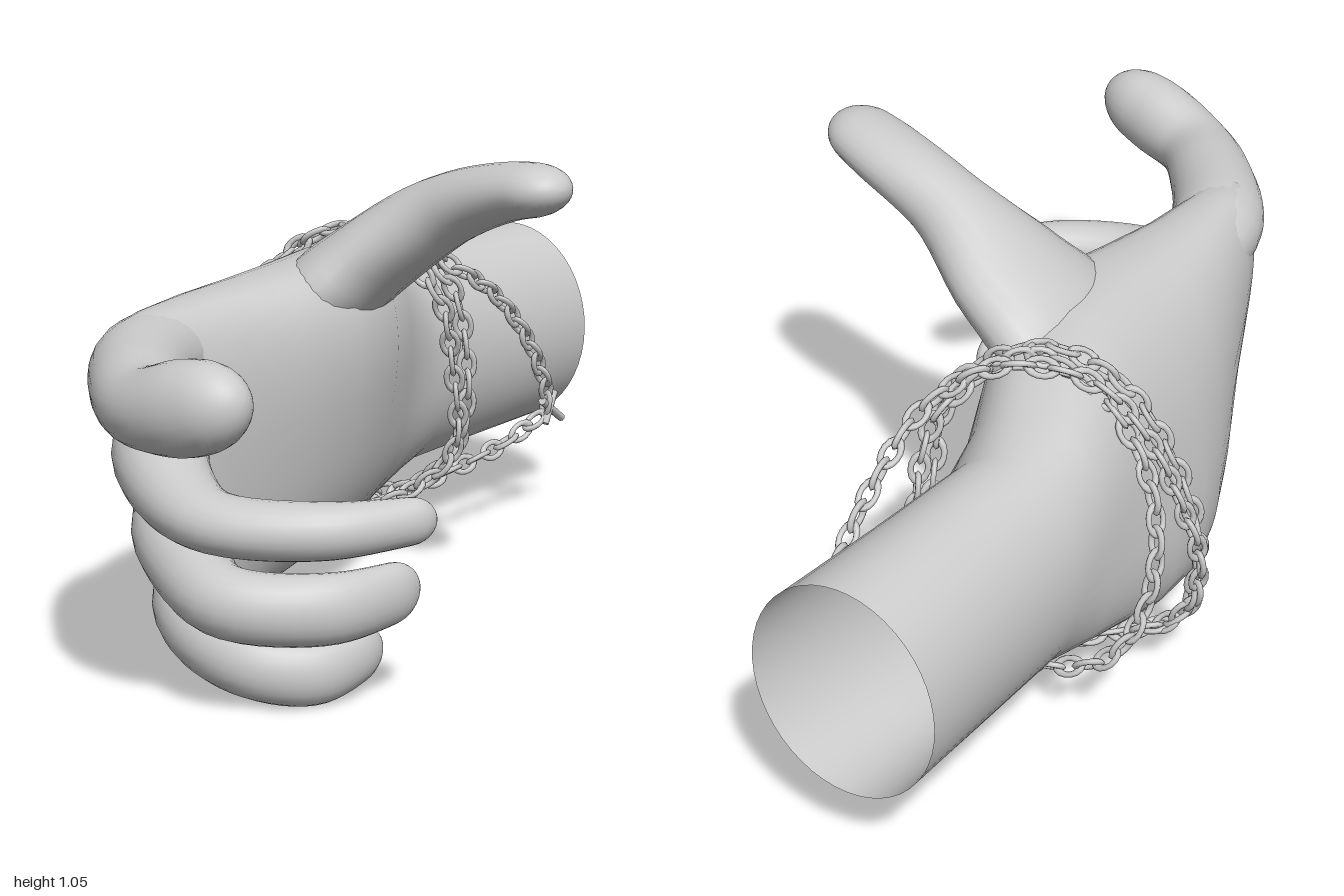
import * as THREE from 'three';
import { mergeGeometries } from 'three/addons/utils/BufferGeometryUtils.js';

const skin = new THREE.MeshStandardMaterial({ color: 0xcccccc, side: THREE.DoubleSide });
const metal = new THREE.MeshStandardMaterial({ color: 0xcccccc });
const V = (p) => new THREE.Vector3(...p);

// Skin closed rings of equal length into one smooth surface.
function loft(rings) {
  const n = rings[0].length, pos = [], idx = [];
  rings.forEach((ring) => ring.forEach((p) => pos.push(p.x, p.y, p.z)));
  for (let i = 0; i < rings.length - 1; i++) {
    for (let j = 0; j < n; j++) {
      const a = i * n + j, b = i * n + (j + 1) % n;
      idx.push(a, b, a + n, b, b + n, a + n);
    }
  }
  const g = new THREE.BufferGeometry();
  g.setAttribute('position', new THREE.Float32BufferAttribute(pos, 3));
  g.setIndex(idx);
  g.computeVertexNormals();
  return g;
}

// A digit: path points [x, y, z, vertical radius, sideways radius], rounded at its end.
function digit(name, pts) {
  const path = new THREE.CatmullRomCurve3(pts.map((p) => V(p.slice(0, 3))));
  const radii = new THREE.CatmullRomCurve3(pts.map((p) => V([p[3], p[4], 0])));
  const end = path.getPoint(1), rings = [], steps = 36, sides = 24;
  for (let i = 0; i <= steps; i++) {
    const t = Math.sin((i / steps) * Math.PI / 2);
    const c = path.getPoint(t), T = path.getTangent(t), r = radii.getPoint(t);
    const U = new THREE.Vector3(0, 1, 0).addScaledVector(T, -T.y).normalize();
    const P = U.clone().cross(T);
    const d = Math.min(1, c.distanceTo(end) / (Math.max(r.x, r.y) * 1.1));
    const k = Math.max(0.002, Math.sqrt(1 - (1 - d) ** 2));
    rings.push(Array.from({ length: sides }, (_, j) => {
      const a = (j / sides) * Math.PI * 2;
      return c.clone().addScaledVector(P, Math.cos(a) * r.y * k).addScaledVector(U, Math.sin(a) * r.x * k);
    }));
  }
  const m = new THREE.Mesh(loft(rings), skin);
  m.name = name;
  return m;
}

// Forearm and palm: sections [z, xMin, xMax, yMin, yMax, lean of x with y, lean of z with y].
function armAndPalm() {
  const sections = [
    [-1, -0.37, 0.04, 0.2, 0.69, 0, 0],
    [-0.75, -0.385, -0.01, 0.195, 0.695, 0, 0],
    [-0.5, -0.4, -0.055, 0.19, 0.7, 0, 0],
    [-0.38, -0.405, -0.055, 0.175, 0.72, 0.04, 0],
    [-0.25, -0.405, -0.025, 0.14, 0.765, 0.12, 0],
    [-0.1, -0.4, 0.015, 0.1, 0.8, 0.2, 0.03],
    [0.05, -0.39, 0.02, 0.08, 0.8, 0.21, 0.08],
    [0.18, -0.37, -0.005, 0.067, 0.79, 0.15, 0.14],
    [0.3, -0.338, -0.03, 0.055, 0.785, 0.08, 0.2],
    [0.43, -0.288, -0.038, 0.045, 0.78, 0, 0.27],
    [0.51, -0.255, -0.03, 0.045, 0.775, -0.03, 0.29],
    [0.57, -0.21, -0.04, 0.075, 0.75, -0.05, 0.29],
    [0.59, -0.14, -0.11, 0.2, 0.65, -0.05, 0.29],
    [0.59, -0.126, -0.124, 0.42, 0.43, -0.05, 0.29],
  ];
  const n = 48;
  const rings = sections.map(([z, x0, x1, y0, y1, kx, kz], i) => Array.from({ length: n }, (_, j) => {
    const a = (j / n) * Math.PI * 2, e = i < 3 ? 1 : 0.8;
    const f = (v) => Math.sign(v) * Math.abs(v) ** e;
    const y = (y0 + y1) / 2 + f(Math.sin(a)) * (y1 - y0) / 2;
    const x = (x0 + x1) / 2 + f(Math.cos(a)) * (x1 - x0) / 2;
    return new THREE.Vector3(x + kx * (y - 0.42), y, z + kz * (y - 0.42));
  }));
  const m = new THREE.Mesh(loft(rings), skin);
  m.name = 'forearmAndPalm';
  return m;
}

// A closed chain of oval links, each turned a quarter from its neighbour.
function chain(name, pts) {
  const curve = new THREE.CatmullRomCurve3(pts.map(V), true);
  const count = 2 * Math.round(curve.getLength() / 0.096);
  const X = new THREE.Vector3(1, 0, 0), links = [];
  for (let i = 0; i < count; i++) {
    const p = curve.getPointAt(i / count), t = curve.getTangentAt(i / count);
    const g = new THREE.TorusGeometry(0.018, 0.0065, 6, 14);
    g.scale(1.6, 1, 1).rotateX((i % 2 ? 1 : -1) * Math.PI / 4);
    g.applyQuaternion(new THREE.Quaternion().setFromUnitVectors(X, t));
    g.translate(p.x, p.y, p.z);
    links.push(g);
  }
  const m = new THREE.Mesh(mergeGeometries(links), metal);
  m.name = name;
  return m;
}

export function createModel() {
  const model = new THREE.Group();
  model.name = 'handWithBracelet';
  model.add(armAndPalm());

  // Fingers curl forward and across; the thumb rises from a broad web on the palm
  model.add(
    digit('indexFinger', [
      [-0.17, 0.67, 0.35, 0.07, 0.07], [-0.155, 0.68, 0.56, 0.098, 0.105], [-0.045, 0.682, 0.75, 0.09, 0.095],
      [0.055, 0.685, 0.86, 0.08, 0.085], [0.17, 0.71, 0.905, 0.092, 0.083], [0.32, 0.75, 0.93, 0.072, 0.063]]),
    digit('middleFinger', [
      [-0.16, 0.52, 0.3, 0.07, 0.07], [-0.145, 0.51, 0.53, 0.098, 0.1], [-0.035, 0.465, 0.66, 0.08, 0.088],
      [0.12, 0.438, 0.74, 0.061, 0.07], [0.32, 0.435, 0.675, 0.057, 0.058], [0.475, 0.44, 0.5, 0.045, 0.03]]),
    digit('ringFinger', [
      [-0.16, 0.34, 0.25, 0.07, 0.07], [-0.145, 0.33, 0.47, 0.095, 0.1], [-0.035, 0.285, 0.6, 0.082, 0.085],
      [0.11, 0.255, 0.68, 0.074, 0.07], [0.28, 0.245, 0.59, 0.073, 0.056], [0.37, 0.25, 0.385, 0.06, 0.03]]),
    digit('littleFinger', [
      [-0.16, 0.17, 0.2, 0.06, 0.06], [-0.14, 0.152, 0.41, 0.095, 0.1], [-0.045, 0.115, 0.52, 0.082, 0.085],
      [0.09, 0.088, 0.567, 0.072, 0.063], [0.2, 0.073, 0.505, 0.07, 0.052], [0.262, 0.1, 0.35, 0.055, 0.03]]),
    digit('thumb', [
      [-0.2, 0.54, -0.04, 0.06, 0.1], [-0.09, 0.71, -0.035, 0.1, 0.21], [0.03, 0.815, -0.042, 0.09, 0.16],
      [0.2, 0.925, -0.02, 0.077, 0.088], [0.36, 0.985, 0.01, 0.062, 0.086], [0.51, 1.01, 0.06, 0.05, 0.07]]),
  );

  // Bracelet: two close loops and one long loop hanging along the forearm
  const bracelet = new THREE.Group();
  bracelet.name = 'bracelet';
  bracelet.add(
    chain('innerChain', [
      [0.02, 0.5, -0.37], [0.01, 0.68, -0.3], [-0.17, 0.81, -0.25], [-0.31, 0.74, -0.19], [-0.42, 0.58, -0.16],
      [-0.48, 0.36, -0.14], [-0.44, 0.16, -0.14], [-0.32, 0.1, -0.19], [-0.15, 0.14, -0.34], [-0.01, 0.26, -0.42]]),
    chain('outerChain', [
      [0.01, 0.52, -0.45], [-0.02, 0.69, -0.4], [-0.16, 0.8, -0.28], [-0.32, 0.71, -0.24], [-0.43, 0.55, -0.26],
      [-0.465, 0.36, -0.32], [-0.42, 0.22, -0.39], [-0.29, 0.15, -0.41], [-0.14, 0.16, -0.43], [-0.01, 0.28, -0.45]]),
    chain('hangingChain', [
      [-0.49, 0.32, -0.15], [-0.46, 0.49, -0.19], [-0.4, 0.64, -0.22], [-0.29, 0.76, -0.25], [-0.12, 0.79, -0.33],
      [0, 0.71, -0.41], [0.03, 0.6, -0.58], [0.04, 0.42, -0.75], [0.02, 0.28, -0.83], [-0.03, 0.215, -0.74],
      [-0.08, 0.18, -0.58], [-0.15, 0.15, -0.42], [-0.3, 0.11, -0.22], [-0.44, 0.15, -0.13]]),
  );

  // Small cross pendant at the far end of the hanging chain
  const pendant = new THREE.Group();
  pendant.name = 'crossPendant';
  const bar = (len, y, turn) => {
    const m = new THREE.Mesh(new THREE.CylinderGeometry(0.01, 0.01, len, 8), metal);
    m.position.y = y;
    m.rotation.x = turn;
    pendant.add(m);
  };
  bar(0.12, 0, 0);
  bar(0.085, 0.015, Math.PI / 2);
  pendant.position.set(0.03, 0.275, -0.85);
  pendant.rotation.x = 1.0;
  bracelet.add(pendant);
  model.add(bracelet);
  return model;
}
